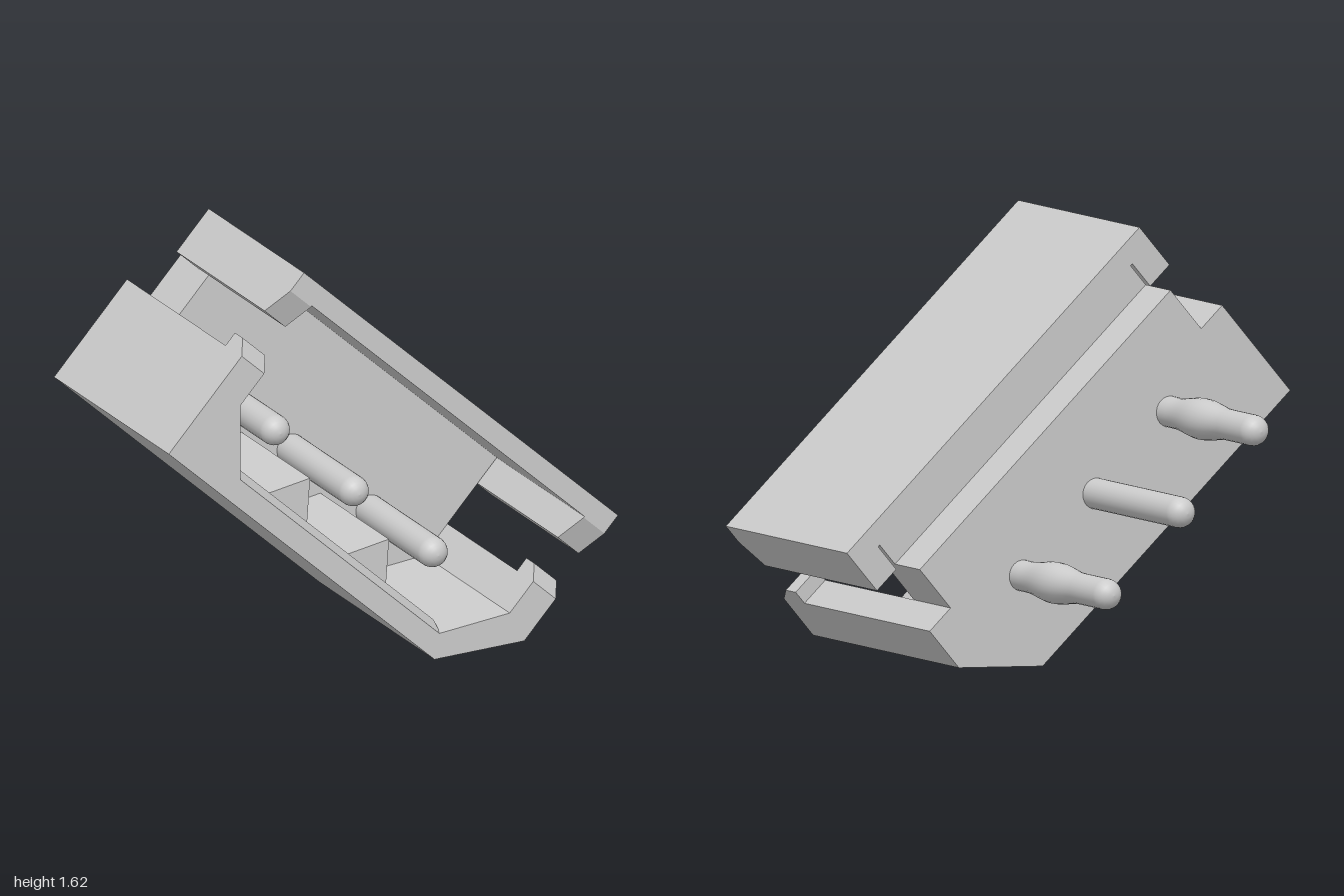
import * as THREE from 'three';

export function createModel() {
  const material = new THREE.MeshStandardMaterial({ color: 0xcccccc });
  const model = new THREE.Group();
  model.name = 'pinHeader';
  // Tilted frame: x along the housing, y across it, z towards the opening
  model.rotation.set(0, 0.1253, -0.719, 'YXZ');
  const body = new THREE.Group();
  body.name = 'housing';
  body.position.x = -0.508;
  model.add(body);

  const add = (name, geometry, x = 0, y = 0, z = 0) => {
    const mesh = new THREE.Mesh(geometry, material);
    mesh.name = name;
    mesh.position.set(x, y, z);
    body.add(mesh);
    return mesh;
  };
  const extrude = (points, depth) => new THREE.ExtrudeGeometry(
    new THREE.Shape(points.map(p => new THREE.Vector2(...p))),
    { depth, bevelEnabled: false });
  // Extrude an (x, y) profile from z0 to z1
  const alongZ = (name, points, z0, z1) => add(name, extrude(points, z1 - z0), 0, 0, z0);
  // Extrude a (z, y) profile from x0 to x1
  const alongX = (name, points, x0, x1) =>
    add(name, extrude(points, x1 - x0).rotateY(-Math.PI / 2), x1);

  const L = 0.875, W = 0.75;
  const outer = [[-L, 0.56], [-L, 0.095], [0.606, 0.095], [L, 0.36], [L, 0.56]];

  // Trough with one chamfered outer corner
  alongZ('lowerShell', [...outer, [W, 0.56], [W, 0.41], [0.555, 0.185],
    [-0.555, 0.185], [-W, 0.41], [-W, 0.56]], 0, 0.777);
  alongX('bevelledSill', [[0, 0.17], [0.775, 0.17], [0.775, 0.185], [0.66, 0.217], [0, 0.217]],
    -0.565, 0.565);

  // Thick back wall holding the pins
  alongZ('backWall', [...outer, [W, 0.56], [W, 0.77], [-W, 0.77], [-W, 0.56]], -0.262, 0);
  add('backWallTop', new THREE.BoxGeometry(2 * W, 0.13, 0.085), 0, 0.825, -0.0425);

  // Top plate with chamfered lugs, and lips on the end walls
  alongX('topPlate', [[-0.087, 0.875], [0.777, 0.875], [0.777, 0.957], [-0.087, 0.957]], -L, L);
  for (const x of [-L, 0.76]) {
    alongX('topLug', [[-0.087, 0.752], [0.71, 0.752], [0.777, 0.87], [0.777, 0.88], [-0.087, 0.88]],
      x, x + 0.115);
  }
  for (const x of [-L, W]) {
    alongX('endLip', [[0.63, 0.55], [0.777, 0.55], [0.777, 0.56], [0.7, 0.62], [0.63, 0.62]],
      x, x + 0.125);
  }

  // Ridges between the pins
  for (const x of [-0.22, 0.22]) {
    alongZ('ridge', [[x - 0.13, 0.185], [x + 0.13, 0.185], [x, 0.357]], 0, 0.62);
  }

  // Pins: rounded ends, the outer two with a swollen tail
  const r = 0.06, back = -0.88, front = 0.62;
  const pinGeometry = swollen => {
    const points = [];
    for (let i = 0; i <= 6; i++) {
      const a = i / 6 * Math.PI / 2;
      points.push(new THREE.Vector2(r * Math.sin(a), back - r * 0.6 + r * (1 - Math.cos(a))));
    }
    if (swollen) {
      for (let i = 0; i <= 12; i++) {
        const s = Math.sin(i / 12 * Math.PI);
        points.push(new THREE.Vector2(r + 0.02 * s * s, -0.69 + i / 12 * 0.37));
      }
    }
    for (let i = 0; i <= 6; i++) {
      const a = i / 6 * Math.PI / 2;
      points.push(new THREE.Vector2(r * Math.cos(a), front - r + r * Math.sin(a)));
    }
    return new THREE.LatheGeometry(points, 24).rotateX(Math.PI / 2);
  };
  for (const x of [-0.44, 0, 0.44]) add('pin', pinGeometry(x !== 0), x, 0.422, 0);

  const root = new THREE.Group();
  root.name = 'connector';
  root.add(model);
  return root;
}
